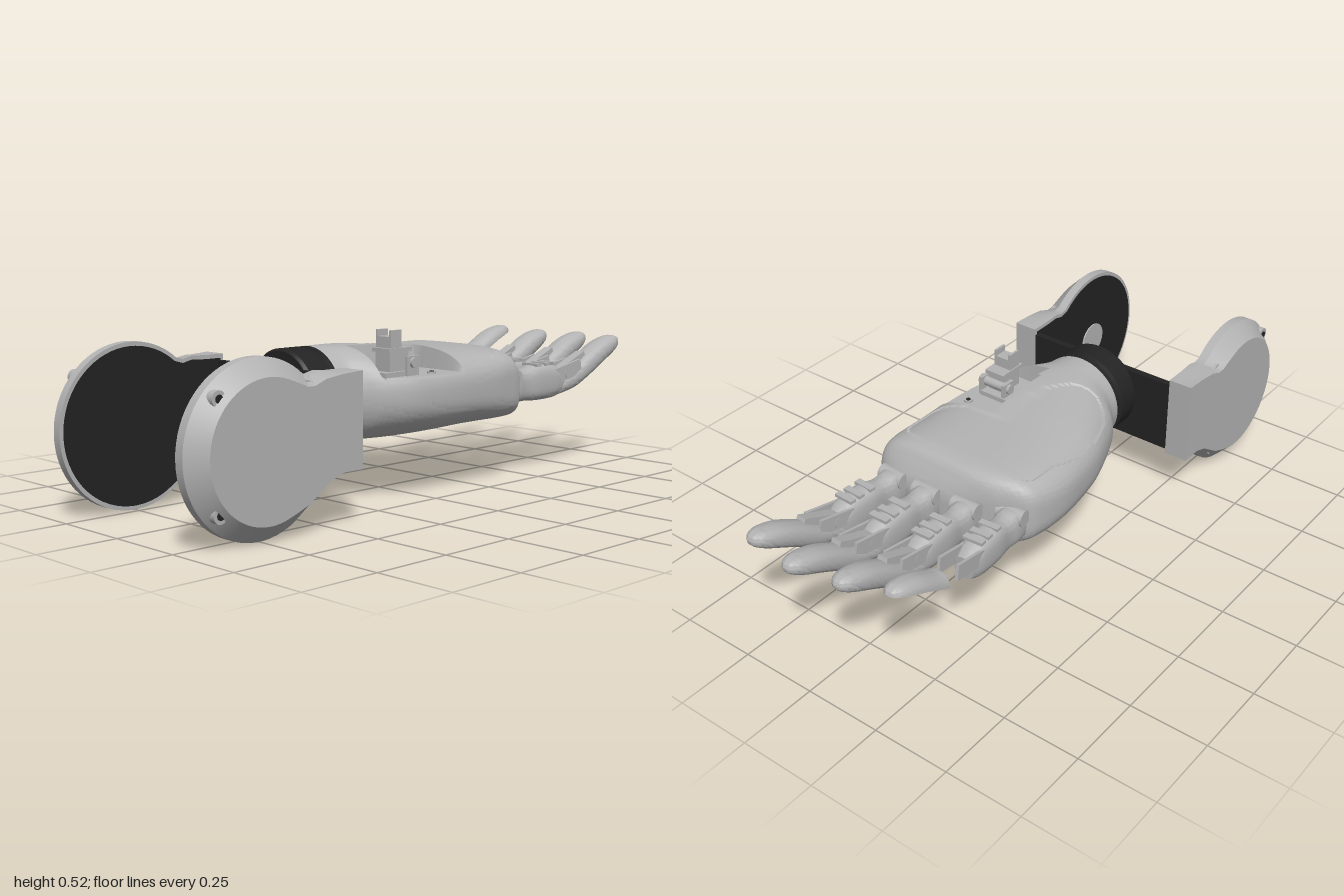
import * as THREE from 'three';
import { toCreasedNormals } from 'three/addons/utils/BufferGeometryUtils.js';

const grey = new THREE.MeshStandardMaterial({ color: 0xb3b3b3, side: THREE.DoubleSide });
grey.name = 'light grey plastic';
const black = new THREE.MeshStandardMaterial({ color: 0x232323 });
black.name = 'black plastic';

function add(parent, name, geo, mat, x = 0, y = 0, z = 0) {
  const mesh = new THREE.Mesh(geo, mat);
  mesh.name = name;
  mesh.position.set(x, y, z);
  parent.add(mesh);
  return mesh;
}
const box = (parent, name, w, h, d, mat, x, y, z) => add(parent, name, new THREE.BoxGeometry(w, h, d), mat, x, y, z);
const cylX = (r, len) => new THREE.CylinderGeometry(r, r, len, 24).rotateZ(Math.PI / 2);
const cylZ = (r, len) => new THREE.CylinderGeometry(r, r, len, 24).rotateX(Math.PI / 2);

// Superellipse loft toward -z. Sections: [z, xMin, xMax, yMin, yMax, exponent]
function loft(sections, rows, segs, { rule = null, arc = Math.PI * 2, crease = 0.7 } = {}) {
  const spline = (f) => new THREE.CatmullRomCurve3(sections.map(f), false, 'catmullrom', 0.5);
  const A = spline((s) => new THREE.Vector3(s[1], s[2], s[0]));
  const B = spline((s) => new THREE.Vector3(s[3], s[4], s[5]));
  const pos = [], idx = [], n = segs + 1;
  const sp = (v, e) => Math.sign(v) * Math.abs(v) ** e;
  for (let r = 0; r <= rows; r++) {
    const a = A.getPoint(r / rows), b = B.getPoint(r / rows);
    for (let i = 0; i <= segs; i++) {
      const t = (i / segs) * arc;
      const p = new THREE.Vector3(
        (a.x + a.y) / 2 + ((a.y - a.x) / 2) * sp(Math.cos(t), 2 / b.z),
        (b.x + b.y) / 2 + ((b.y - b.x) / 2) * sp(Math.sin(t), 2 / b.z), a.z);
      if (rule) rule(p);
      pos.push(p.x, p.y, p.z);
    }
  }
  for (let r = 0; r < rows; r++) {
    for (let i = 0; i < segs; i++) {
      const a = r * n + i, c = a + n;
      idx.push(a, c, a + 1, a + 1, c, c + 1);
    }
  }
  // end caps
  [0, rows].forEach((r) => {
    const s = sections[r ? sections.length - 1 : 0], c = pos.length / 3;
    pos.push((s[1] + s[2]) / 2, (s[3] + s[4]) / 2, s[0]);
    for (let i = 0; i < segs; i++) {
      const a = r * n + i;
      if (r) idx.push(c, a + 1, a); else idx.push(c, a, a + 1);
    }
  });
  const g = new THREE.BufferGeometry();
  g.setAttribute('position', new THREE.Float32BufferAttribute(pos, 3));
  g.setIndex(idx);
  return toCreasedNormals(g, crease);
}

// Outline of a side cover in (z, y): a disc running into a strap
function coverShape(s, scale = 1) {
  const pts = [];
  for (let i = 0; i <= 48; i++) {
    const t = (130 - (i / 48) * 250) * Math.PI / 180;
    pts.push([0.75 - 0.25 * scale * Math.cos(Math.PI - t), 0.25 + 0.25 * scale * Math.sin(t)]);
  }
  const k = (1 - scale) * 0.25;
  const strap = [[0.585, 0.062 + k], [0.55, 0.1 + k], [0.515, 0.137 + k], [0.475, 0.158 + k], [0.41 + k, 0.16 + k],
    [0.41 + k, 0.44 - k], [0.48, 0.44 - k], [0.53, 0.443 - k], [0.565, 0.435 - k]];
  // disc runs over the far side, from upper inner edge round to lower inner edge
  const disc = pts.map(([, y], i) => {
    const t = (130 - (i / 48) * 250) * Math.PI / 180;
    return [0.75 + 0.25 * scale * Math.cos(t), y];
  });
  return new THREE.Shape([...disc, ...strap].map(([z, y]) => new THREE.Vector2(-s * z, y)));
}

function sideCover(s) {
  const g = new THREE.Group();
  g.name = s > 0 ? 'leftSideCover' : 'rightSideCover';
  const geo = new THREE.ExtrudeGeometry(coverShape(s), { depth: 0.08, steps: 2, bevelEnabled: false });
  const p = geo.attributes.position;
  // chamfer the outer rim, fading out along the strap
  for (let i = 0; i < p.count; i++) {
    const c = p.getZ(i), z = -s * p.getX(i), y = p.getY(i);
    if (c > 0.07) {
      const k = 1 - 0.2 * THREE.MathUtils.smoothstep(z, 0.43, 0.66);
      p.setX(i, -s * (0.75 + (z - 0.75) * k));
      p.setY(i, 0.25 + (y - 0.25) * k);
    } else if (c > 0.02) p.setZ(i, 0.03);
  }
  geo.deleteAttribute('normal');
  add(g, 'coverShell', toCreasedNormals(geo, 0.5).rotateY(s * Math.PI / 2), grey, s * 0.27);
  const liner = new THREE.ExtrudeGeometry(coverShape(s, 0.95), { depth: 0.008, bevelEnabled: false });
  add(g, 'innerLiner', liner.rotateY(s * Math.PI / 2), black, s * 0.267);
  for (const z of [0.605, 0.905]) for (const y of [0.1, 0.405]) {
    add(g, 'screwSeat', cylX(0.023, 0.054), grey, s * 0.306, y, z);
    add(g, 'screwHole', cylX(0.012, 0.004), black, s * 0.333, y, z);
  }
  if (s > 0) add(g, 'hubDisc', cylX(0.06, 0.008), grey, 0.266, 0.25, 0.75);
  return g;
}

// Distal shell cross-sections, d measured along the finger
const distal = [[0.25, 0.255, 0.31, 0.034], [0.33, 0.272, 0.345, 0.039], [0.4, 0.305, 0.39, 0.043],
  [0.47, 0.345, 0.425, 0.044], [0.53, 0.377, 0.44, 0.038], [0.562, 0.397, 0.437, 0.025], [0.575, 0.41, 0.425, 0.008]];
const proximal = [[-0.03, 0.25, 0.35, 0.036], [0.03, 0.247, 0.36, 0.041], [0.08, 0.25, 0.355, 0.036],
  [0.14, 0.247, 0.368, 0.042], [0.22, 0.25, 0.362, 0.04], [0.27, 0.265, 0.335, 0.032]];
const toSections = (list, e) => list.map(([d, b, t, w]) => [-d, -w, w, b, t, e]);

function finger(name, x, z, angle, scale, hasTip) {
  const g = new THREE.Group();
  g.name = name;
  g.position.set(x, 0, z);
  g.rotation.y = angle;
  g.scale.z = scale;
  add(g, 'knucklePin', cylX(0.026, 0.09), grey, 0, 0.335, -0.015);
  add(g, 'proximalSegment', loft(toSections(proximal, 3), 30, 32), grey);
  for (const d of [0.135, 0.18, 0.215]) box(g, 'segmentBand', 0.066, 0.01, 0.022, grey, 0, 0.367, -d);
  // fork plates and link of the middle joint
  for (const s of [-1, 1]) {
    box(g, 'jointFork', 0.01, 0.05, 0.13, grey, s * 0.031, 0.335, -0.285).rotation.x = 0.2;
  }
  if (hasTip) {
    box(g, 'middleLink', 0.034, 0.05, 0.14, grey, 0, 0.345, -0.33).rotation.x = 0.4;
    add(g, 'jointPin', cylX(0.016, 0.074), grey, 0, 0.33, -0.28);
    add(g, 'fingertip', loft(toSections(distal, 2.4), 36, 32), grey);
  }
  return g;
}

// Palm surface: lowered thumb bay and a shallow grip pad
function palmRule(p) {
  const { x, z } = p;
  if (x > 0.06 && z > -0.1 && z < 0.19 && p.y > 0.385) p.y = 0.385;
  else if (p.y > 0.4) {
    const lobe = ((x + 0.12) / 0.14) ** 2 + ((z + 0.06) / 0.25) ** 2 < 1;
    const bar = ((x - 0.0) / 0.24) ** 4 + ((z + 0.22) / 0.11) ** 4 < 1;
    if (lobe || bar) p.y -= 0.005;
  }
}

export function createModel() {
  const model = new THREE.Group();
  model.name = 'roboticHand';
  model.add(sideCover(1), sideCover(-1));

  // Cross bracket with bottom flange and screws
  const bracket = new THREE.Group();
  bracket.name = 'crossBracket';
  model.add(bracket);
  box(bracket, 'bracketPlate', 0.535, 0.245, 0.022, black, 0, 0.2975, 0.421);
  box(bracket, 'bracketFlange', 0.525, 0.03, 0.11, black, 0, 0.19, 0.465);
  for (const x of [-0.053, 0.053]) for (const y of [0.26, 0.395]) {
    add(bracket, 'screwRing', new THREE.TorusGeometry(0.021, 0.004, 8, 24), black, x, y, 0.432);
    if (y < 0.3) add(bracket, 'screwCentre', cylZ(0.008, 0.006), grey, x, y, 0.431);
  }
  for (const x of [-0.22, 0.22]) add(bracket, 'flangeHole', new THREE.CylinderGeometry(0.011, 0.011, 0.034, 16), grey, x, 0.19, 0.485);

  // Wrist coupling
  const ring = [[0, 0.285], [0.14, 0.285], [0.147, 0.292], [0.147, 0.304], [0.136, 0.31], [0.136, 0.326],
    [0.147, 0.332], [0.147, 0.402], [0.14, 0.412], [0, 0.412]].map((p) => new THREE.Vector2(...p));
  add(model, 'wristCoupling', toCreasedNormals(new THREE.LatheGeometry(ring, 64).rotateX(Math.PI / 2), 0.5), black, 0, 0.328, 0);

  // Palm
  const palm = [
    [0.3, -0.148, 0.148, 0.18, 0.475, 2], [0.25, -0.162, 0.165, 0.18, 0.475, 2.05], [0.19, -0.205, 0.222, 0.18, 0.474, 2.2],
    [0.11, -0.24, 0.262, 0.181, 0.47, 2.4], [0.02, -0.27, 0.277, 0.183, 0.464, 2.6], [-0.08, -0.288, 0.281, 0.187, 0.457, 2.8],
    [-0.18, -0.297, 0.279, 0.192, 0.452, 3], [-0.27, -0.287, 0.275, 0.196, 0.448, 3.4], [-0.325, -0.262, 0.27, 0.199, 0.444, 3.8],
    [-0.365, -0.19, 0.265, 0.202, 0.432, 3.8], [-0.39, -0.115, 0.255, 0.207, 0.4, 3.6], [-0.41, -0.04, 0.225, 0.225, 0.365, 3.2]];
  add(model, 'palm', loft(palm, 140, 120, { rule: palmRule, crease: 0.6 }), grey);

  // Fingers; the smallest has a separate shell for its tip
  model.add(
    finger('indexFinger', 0.18, -0.4, -0.045, 1, true),
    finger('middleFinger', 0.048, -0.4, 0.008, 1.043, true),
    finger('ringFinger', -0.092, -0.39, 0.038, 1.01, true),
    finger('littleFinger', -0.218, -0.335, 0.075, 0.96, false));
  const tip = toSections([[0.375, 0.29, 0.38, 0.043], ...distal.slice(2)], 2.2);
  add(model, 'littleFingertipShell', loft(tip, 24, 24, { arc: Math.PI }), grey, -0.257, 0.01, -0.35).rotation.y = 0.0;

  // Thumb base mechanism in its bay
  const thumb = new THREE.Group();
  thumb.name = 'thumbBase';
  model.add(thumb);
  box(thumb, 'thumbMount', 0.13, 0.02, 0.14, grey, 0.15, 0.39, 0.115);
  box(thumb, 'thumbBlock', 0.06, 0.075, 0.08, grey, 0.173, 0.425, 0.115);
  box(thumb, 'thumbCollar', 0.072, 0.012, 0.1, grey, 0.173, 0.465, 0.115);
  box(thumb, 'thumbLink', 0.05, 0.04, 0.045, grey, 0.173, 0.485, 0.13);
  for (const s of [-1, 1]) {
    box(thumb, 'thumbFork', 0.008, 0.055, 0.045, grey, 0.173 + s * 0.028, 0.4975, 0.13);
    box(thumb, 'thumbSidePlate', 0.012, 0.06, 0.05, grey, 0.173 + s * 0.045, 0.415, 0.075);
  }
  add(thumb, 'thumbPin', cylX(0.016, 0.12), grey, 0.173, 0.425, 0.075);
  add(thumb, 'bayScrew', new THREE.CylinderGeometry(0.014, 0.014, 0.008, 20), grey, 0.22, 0.387, -0.01);
  add(thumb, 'bayScrewHole', new THREE.CylinderGeometry(0.007, 0.007, 0.004, 16), black, 0.22, 0.391, -0.01);
  return model;
}
